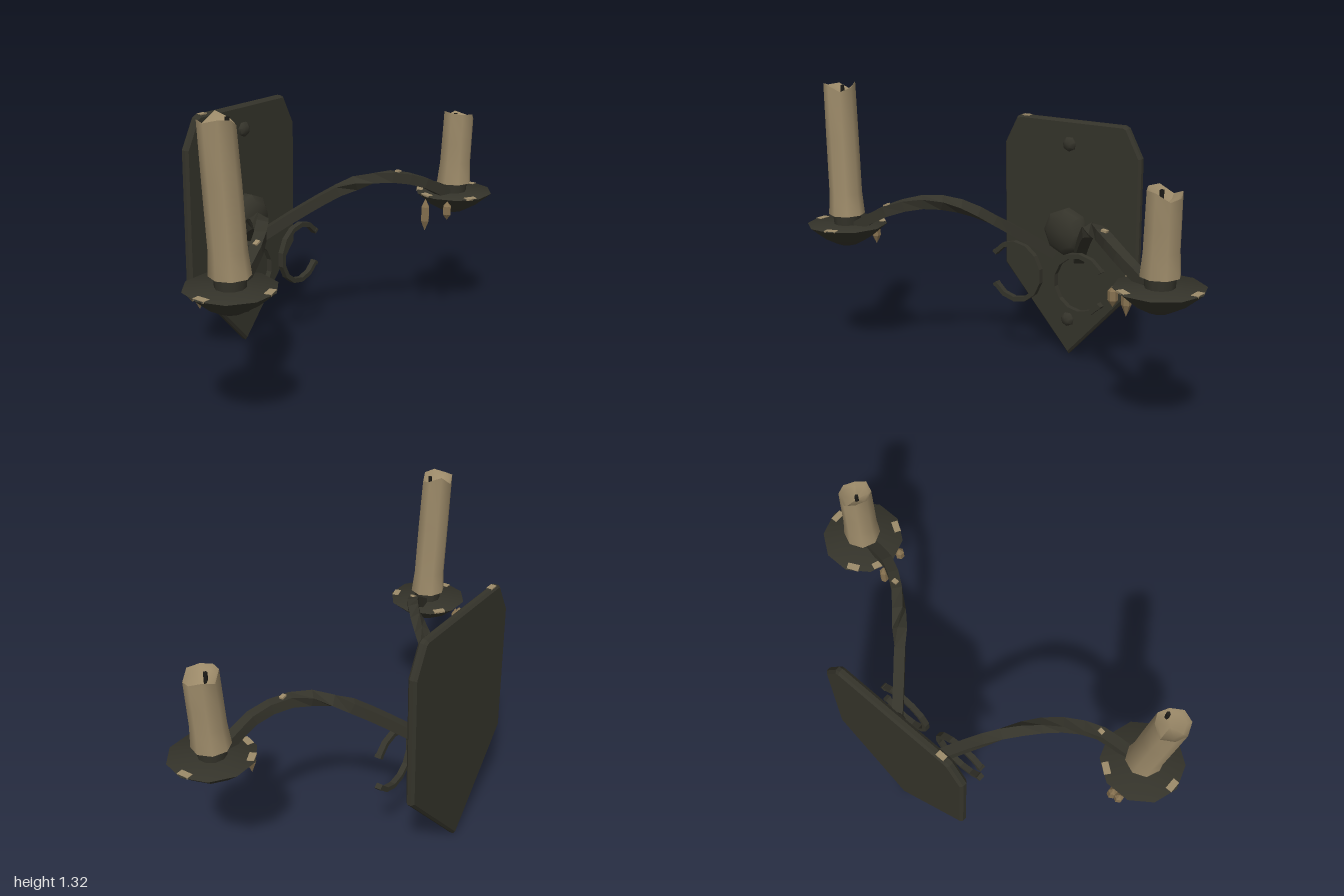
import * as THREE from 'three';
import { toCreasedNormals } from 'three/addons/utils/BufferGeometryUtils.js';

const mat = (name, color) => {
  const m = new THREE.MeshStandardMaterial({ color });
  m.name = name;
  return m;
};

export function createModel() {
  const root = new THREE.Group();
  root.name = 'wallSconce';
  const iron = mat('dark iron', 0x34332a);
  const wax = mat('old wax', 0x9c8a69);
  const crystal = mat('smoky crystal', 0x85704f);
  const char = mat('charred wick', 0x1c1b18);

  const add = (name, geo, material, x = 0, y = 0, z = 0, parent = root) => {
    const m = new THREE.Mesh(geo, material);
    m.name = name;
    m.position.set(x, y, z);
    parent.add(m);
    return m;
  };
  const lathe = (pts, sides, start = 0, length = 2 * Math.PI) =>
    new THREE.LatheGeometry(pts.map(p => new THREE.Vector2(...p)), sides, start, length);
  const soft = geo => toCreasedNormals(geo, 0.9);
  const faceted = geo => toCreasedNormals(geo, 0.1);

  // Shield-shaped back plate with a chamfered edge
  const half = [[0.37, 0.4], [0.37, 1.0], [0.3, 1.13], [0.28, 1.14]];
  const outline = [[0, 0], ...half, ...half.map(([x, y]) => [-x, y]).reverse()];
  const plate = new THREE.ExtrudeGeometry(new THREE.Shape(outline.map(p => new THREE.Vector2(...p))), {
    depth: 0.018, bevelThickness: 0.011, bevelSize: 0.011, bevelOffset: -0.011, bevelSegments: 1,
  });
  add('backPlate', plate, iron, 0, 0, -0.409);
  add('wornSpot', new THREE.BoxGeometry(0.04, 0.006, 0.025), wax, -0.25, 1.139, -0.4);

  // Central boss and two rivets
  const boss = lathe([[0.11, 0], [0.11, 0.045], [0.078, 0.075], [0, 0.08]], 8).rotateX(Math.PI / 2);
  add('boss', soft(boss), iron, 0, 0.62, -0.382);
  for (const y of [1.03, 0.18]) {
    const rivet = lathe([[0.035, 0], [0.033, 0.012], [0.018, 0.025], [0, 0.027]], 7).rotateX(Math.PI / 2);
    add('rivet', soft(rivet), iron, 0, y, -0.382);
  }

  // Square bar swept along a curve, with a quarter twist between two points of its length
  function twistedBar(points, radius, from, to) {
    const curve = new THREE.CatmullRomCurve3(points.map(p => new THREE.Vector3(...p)));
    const geo = new THREE.CylinderGeometry(radius, radius, 1, 4, 12);
    const pos = geo.attributes.position, up = new THREE.Vector3(0, 1, 0), v = new THREE.Vector3();
    for (let i = 0; i < pos.count; i++) {
      v.fromBufferAttribute(pos, i);
      const t = v.y + 0.5, r = Math.hypot(v.x, v.z);
      const a = Math.atan2(v.x, v.z) + Math.PI / 4 + Math.PI / 2 * THREE.MathUtils.smoothstep(t, from, to);
      const dir = curve.getTangentAt(t);
      const side = new THREE.Vector3().crossVectors(dir, up).normalize();
      const nor = new THREE.Vector3().crossVectors(side, dir);
      const p = curve.getPointAt(t)
        .addScaledVector(side, r * Math.sin(a)).addScaledVector(nor, r * Math.cos(a));
      pos.setXYZ(i, p.x, p.y, p.z);
    }
    return faceted(geo);
  }

  // Hollow candle with a ragged rim, leaning to one side
  function candleGeometry(height, leanX, leanZ, ragged) {
    const n = ragged.length;
    const geo = lathe([[0, 0], [0.082, 0], [0.074, 0.1], [0.073, height * 0.6], [0.071, height],
      [0.056, height - 0.02], [0, height - 0.05]], n);
    const pos = geo.attributes.position;
    for (let i = 0; i < pos.count; i++) {
      const x = pos.getX(i), y = pos.getY(i), z = pos.getZ(i), t = y / height;
      const k = (Math.round(Math.atan2(x, z) / (2 * Math.PI) * n) + n) % n;
      const rim = t > 0.9 && Math.hypot(x, z) > 0.01 ? ragged[k] : 0;
      pos.setXYZ(i, x + leanX * t, y + rim, z + leanZ * t);
    }
    return soft(geo);
  }

  const sides = [
    { s: 1, name: 'left', height: 0.325, lean: [0.012, 0.008], wick: 1.045, twist: [0.4, 0.65],
      ragged: [0.01, -0.022, -0.012, 0.005, -0.015, 0.02, 0.018, 0.012],
      drops: [[0.645, 0.195, 0.495, 0.16], [0.65, 0.31, 0.57, 0.09]],
      spots: [90, 207, 249, 330], armSpot: [0.5, 0.811, 0.13, -0.15] },
    { s: -1, name: 'right', height: 0.59, lean: [-0.032, -0.02], wick: 1.305, twist: [0.25, 0.8],
      ragged: [0.002, -0.025, -0.008, 0.015, -0.028, 0.0, -0.005, 0.008],
      drops: [[-0.8, 0.072, 0.53, 0.13], [-0.835, 0.07, 0.57, 0.08]],
      spots: [17, 142, 270], armSpot: [-0.61, 0.773, 0.2, 0.45] },
  ];

  for (const c of sides) {
    const { s } = c, x = s * 0.817, z = 0.245;
    const g = new THREE.Group();
    g.name = c.name + 'Branch';
    root.add(g);

    const path = [[0.07, 0.5, -0.36], [0.2, 0.64, -0.19], [0.34, 0.757, -0.02],
      [0.46, 0.788, 0.1], [0.6, 0.75, 0.195], [0.76, 0.66, 0.24]];
    add('arm', twistedBar(path.map(p => [p[0] * s, p[1], p[2]]), 0.034, ...c.twist), iron, 0, 0, 0, g);

    // Drip dish and candle cup
    const dish = lathe([[0, 0], [0.05, 0.002], [0.112, 0.036], [0.184, 0.096], [0.18, 0.099], [0, 0.097]],
      10, Math.PI / 10);
    add('dripDish', soft(dish), iron, x, 0.569, z, g);
    add('candleCup', new THREE.CylinderGeometry(0.065, 0.06, 0.06, 10), iron, x, 0.688, z, g);

    // Candle and wick
    add('candle', candleGeometry(c.height, ...c.lean, c.ragged), wax, x, 0.712, z, g);
    add('wick', new THREE.CylinderGeometry(0.009, 0.01, 0.1, 5), char, s * 0.812, c.wick - 0.05, z, g);

    // Wax spots on the dish rim and the arm
    for (const deg of c.spots) {
      const a = THREE.MathUtils.degToRad(deg);
      const spot = add('waxSpot', new THREE.BoxGeometry(0.055, 0.008, 0.03), wax,
        x + 0.16 * Math.sin(a), 0.666, z + 0.16 * Math.cos(a), g);
      spot.rotation.y = a;
    }
    const [ax, ay, az, tilt] = c.armSpot;
    add('armWaxSpot', new THREE.BoxGeometry(0.025, 0.009, 0.02), wax, ax, ay, az, g).rotation.z = tilt;

    // Hanging crystals
    for (const [dx, dz, y, h] of c.drops) {
      const drop = lathe([[0, 0], [0.021, h * 0.32], [0.02, h * 0.75], [0, h]], 6);
      add('crystalDrop', faceted(drop), crystal, dx, y, dz, g);
    }

    // Open scroll of flat bar in front of the plate
    const gap = 0.62, start = (s > 0 ? 0 : Math.PI) + gap;
    const bar = [[0.125, -0.013], [0.147, -0.013], [0.147, 0.013], [0.125, 0.013], [0.125, -0.013]];
    const scroll = lathe(bar, 11, start + Math.PI / 2, 2 * (Math.PI - gap)).rotateX(Math.PI / 2);
    add('scroll', faceted(scroll), iron, s * 0.175, 0.435, -0.197, g);
    for (const e of [-gap, gap]) {
      const end = add('scrollEnd', new THREE.BoxGeometry(0.024, 0.014, 0.03), iron,
        s * (0.175 + 0.136 * Math.cos(e)), 0.435 + 0.136 * Math.sin(e), -0.197, g);
      end.rotation.z = s * e;
    }
  }
  return root;
}
